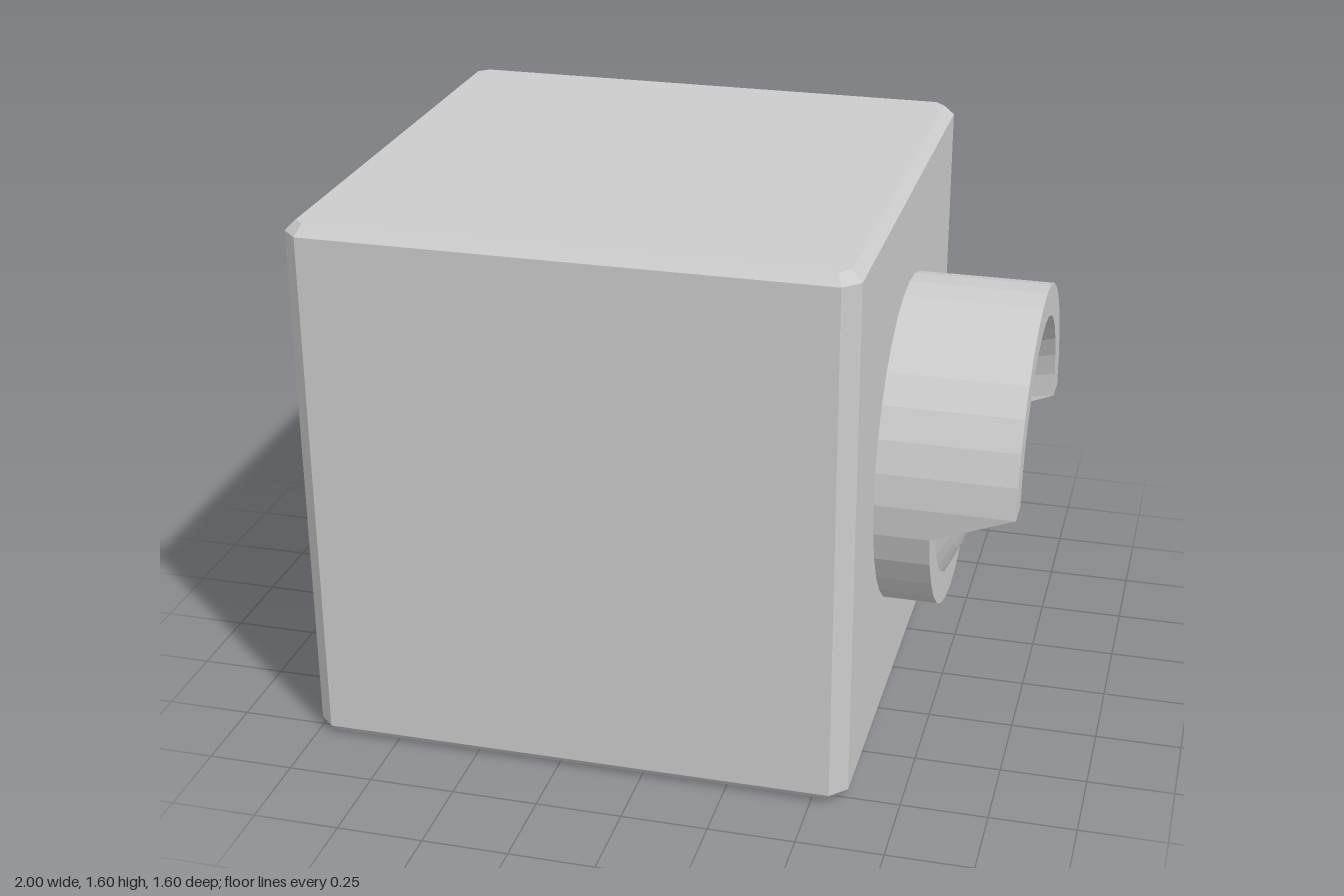
import * as THREE from 'three';

const material = new THREE.MeshStandardMaterial({ color: 0xcccccc, flatShading: true });
const SIDES = 32;

function named(name, geometry) {
  const mesh = new THREE.Mesh(geometry, material);
  mesh.name = name;
  return mesh;
}

// Cube with cut corners; the bevel chamfers its top and bottom edges
function housingGeometry() {
  const bevel = 0.03, h = 0.8 - bevel, k = h - 0.029;
  const shape = new THREE.Shape([
    [h, -k], [h, k], [k, h], [-k, h], [-h, k], [-h, -k], [-k, -h], [k, -h],
  ].map(([x, y]) => new THREE.Vector2(x, y)));
  return new THREE.ExtrudeGeometry(shape, {
    depth: 1.6 - 2 * bevel, bevelEnabled: true, bevelSize: bevel, bevelThickness: bevel, bevelSegments: 1,
  }).rotateX(-Math.PI / 2).translate(-0.2, bevel, 0);
}

// Profile turned about the x axis: [radius, x] pairs, listed with x rising
function turned(profile) {
  const points = profile.map(([r, x]) => new THREE.Vector2(r, x));
  return new THREE.LatheGeometry(points, SIDES).rotateZ(-Math.PI / 2);
}

// Half-round hood: section swept over the top, its ends sloping back to the ring
function visorGeometry(back, front) {
  const step = (2 * Math.PI) / SIDES, count = SIDES / 2 + 2;
  const positions = [], index = [];
  for (let i = 0; i <= count; i++) {
    const angle = (i - 1) * step;
    const isEnd = i === 0 || i === count;
    const section = [
      [0.49, back], [0.49, isEnd ? back : front],
      [isEnd ? 0.32 : 0.395, isEnd ? back : front], [0.32, back],
    ];
    for (const [r, x] of section) positions.push(x, r * Math.sin(angle), r * Math.cos(angle));
    if (i === count) break;
    for (let j = 0; j < 3; j++) {
      const a = i * 4 + j, b = a + 1, c = b + 4, d = a + 4;
      index.push(a, b, c, a, c, d);
    }
  }
  const geometry = new THREE.BufferGeometry();
  geometry.setAttribute('position', new THREE.Float32BufferAttribute(positions, 3));
  geometry.setIndex(index);
  const flat = geometry.toNonIndexed();
  flat.computeVertexNormals();
  return flat;
}

export function createModel() {
  const model = new THREE.Group();
  model.name = 'signalLamp';
  model.add(named('housing', housingGeometry()));

  const lamp = new THREE.Group();
  lamp.name = 'lamp';
  lamp.position.set(0, 0.8, -0.007);
  lamp.add(named('ring', turned([[0.49, 0.59], [0.49, 0.76], [0.395, 0.76]])));

  // Shallow spherical lens
  const radius = 0.83, edge = Math.asin(0.395 / radius), rings = 5;
  const dome = [];
  for (let i = 0; i <= rings; i++) {
    const t = edge * (1 - i / rings);
    dome.push([radius * Math.sin(t), 0.76 + radius * (Math.cos(t) - Math.cos(edge))]);
  }
  lamp.add(named('lens', turned(dome)));
  lamp.add(named('visor', visorGeometry(0.76, 1)));
  model.add(lamp);
  return model;
}
